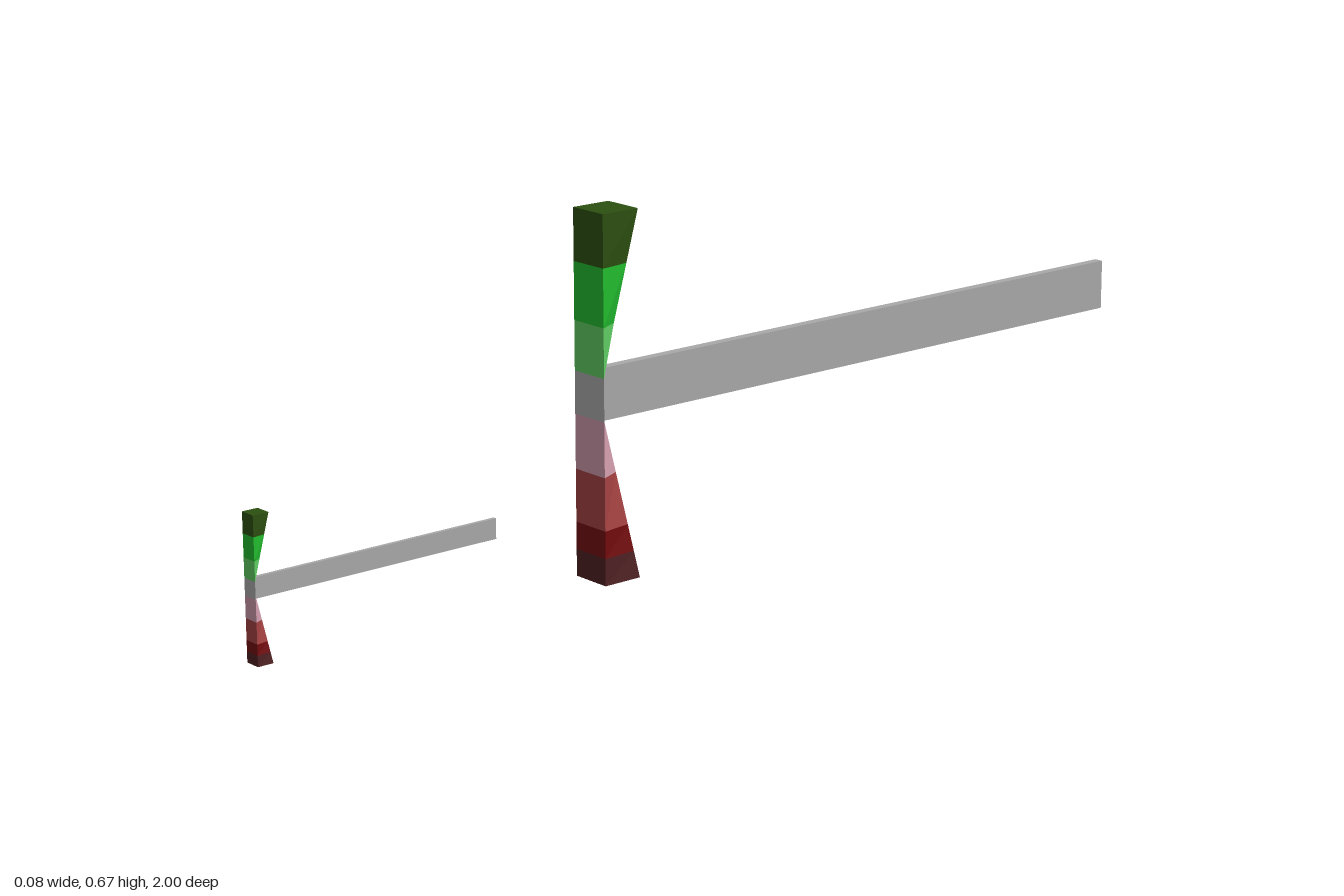
import * as THREE from 'three';

const HEIGHT = 0.665, WAIST = 0.336;

const material = (name, color) => {
  const m = new THREE.MeshStandardMaterial({ color });
  m.name = name;
  return m;
};

// Cross-section at height y: full-width front edge at z = 0, back edge pinched toward the waist
function ring(y) {
  const t = Math.abs(y - WAIST) / (y < WAIST ? WAIST : HEIGHT - WAIST);
  const h = 0.01 + 0.03 * t, b = -(0.012 + 0.066 * t);
  return [[0.04, y, 0], [h, y, b], [-h, y, b], [-0.04, y, 0]];
}

// Flat-faced skin through the given heights, capped only at the column's ends
function bandGeometry(heights) {
  const pos = [];
  const quad = (a, b, c, d) => pos.push(...a, ...b, ...c, ...a, ...c, ...d);
  const rings = heights.map(ring);
  for (let k = 0; k < rings.length - 1; k++) {
    const lo = rings[k], hi = rings[k + 1];
    for (let i = 0; i < 4; i++) {
      const j = (i + 1) % 4;
      quad(lo[i], lo[j], hi[j], hi[i]);
    }
  }
  if (heights[0] === 0) quad(...[...rings[0]].reverse());
  if (heights[heights.length - 1] === HEIGHT) quad(...rings[rings.length - 1]);
  const g = new THREE.BufferGeometry();
  g.setAttribute('position', new THREE.Float32BufferAttribute(pos, 3));
  g.computeVertexNormals();
  return g;
}

export function createModel() {
  const grey = material('grey', 0xa9a9a9);
  // Bands from the bottom up: name, heights, material
  const bands = [
    ['baseBand', [0, 0.05], material('darkMaroon', 0x4f2023)],
    ['deepRedBand', [0.05, 0.1], material('deepRed', 0x730c0e)],
    ['redBand', [0.1, 0.197], material('dustyRed', 0xa54242)],
    ['pinkBand', [0.197, 0.297], material('pink', 0xcb98a8)],
    ['waistBand', [0.297, WAIST, 0.375], grey],
    ['lightGreenBand', [0.375, 0.465], material('lightGreen', 0x60cc62)],
    ['greenBand', [0.465, 0.57], material('green', 0x22bc2e)],
    ['topBand', [0.57, HEIGHT], material('darkGreen', 0x2d5010)],
  ];

  // One banded column with its long thin beam running backward
  function marker(name, scale, y, z) {
    const g = new THREE.Group();
    g.name = name;
    for (const [label, heights, mat] of bands) {
      const mesh = new THREE.Mesh(bandGeometry(heights), mat);
      mesh.name = label;
      g.add(mesh);
    }
    const beam = new THREE.Mesh(new THREE.BoxGeometry(0.018, 0.095, 1.28), grey);
    beam.name = 'beam';
    beam.position.set(0, 0.337, -0.65);
    g.add(beam);
    g.scale.setScalar(scale);
    g.position.set(0, y, z);
    return g;
  }

  const model = new THREE.Group();
  model.name = 'model';
  model.add(marker('largeMarker', 1, 0, 0.29), marker('smallMarker', 0.387, 0.01, 1));
  return model;
}
